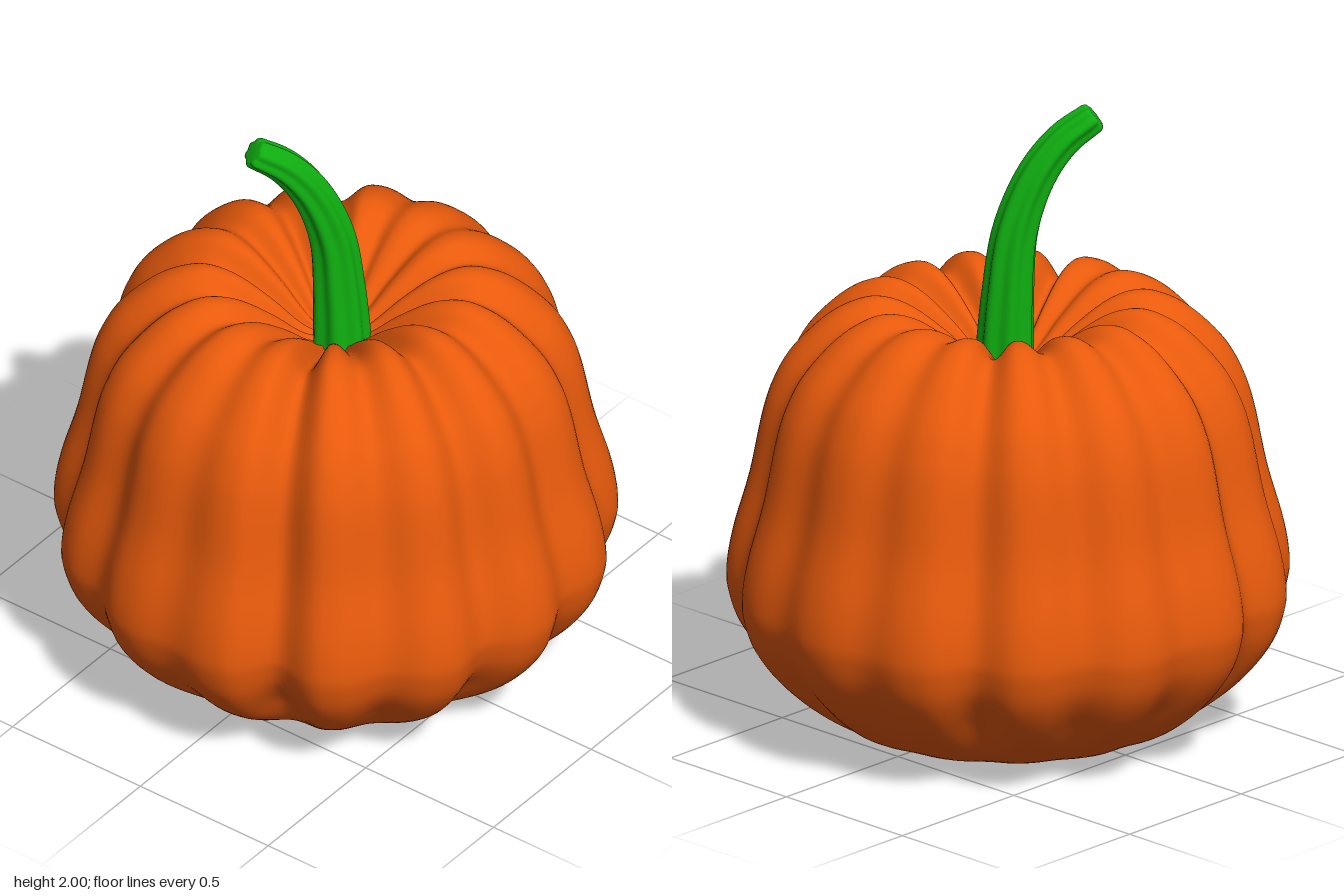
import * as THREE from 'three';

// Joins rings of points (each wound anticlockwise around its direction of travel) into one smooth skin
function loft(rings) {
  const n = rings[0].length, index = [];
  for (let i = 0; i < rings.length - 1; i++) {
    for (let j = 0; j < n; j++) {
      const a = i * n + j, b = i * n + (j + 1) % n;
      index.push(a, b, a + n, b, b + n, a + n);
    }
  }
  const geometry = new THREE.BufferGeometry().setFromPoints(rings.flat());
  geometry.setIndex(index);
  geometry.computeVertexNormals();
  return geometry;
}

// Body: a turned profile with fifteen creases of uneven depth pressed in along its normal
function createBody() {
  const profile = new THREE.SplineCurve([
    [0, 0.01], [0.2, 0.005], [0.38, 0.005], [0.54, 0.045], [0.65, 0.11], [0.76, 0.21],
    [0.84, 0.32], [0.875, 0.42], [0.88, 0.5], [0.86, 0.62], [0.81, 0.8], [0.77, 1.0],
    [0.735, 1.11], [0.68, 1.21], [0.585, 1.31], [0.5, 1.365], [0.41, 1.388], [0.31, 1.36],
    [0.2, 1.28], [0.1, 1.19], [0, 1.15],
  ].map(([r, y]) => new THREE.Vector2(r, y)));
  const creases = [0.025, 0.06, 0.045, 0.04, 0.06, 0.05, 0.04, 0.025,
    0.085, 0.045, 0.06, 0.05, 0.05, 0.04, 0.025];
  const perRib = 16, segments = creases.length * perRib, steps = 90;
  const rings = [];
  for (let i = 0; i <= steps; i++) {
    const t = i / steps, p = profile.getPoint(t), d = profile.getTangent(t);
    // Creases fade out on the flat base and towards the hollow's centre
    const fade = t < 0.5 ? THREE.MathUtils.smoothstep(p.y, 0, 0.22) : Math.min(1, p.x / 0.3);
    const ring = [];
    for (let j = 0; j < segments; j++) {
      const across = (j % perRib) / perRib;
      const k = Math.floor(j / perRib), k2 = (k + 1) % creases.length;
      const bump = (u) => Math.pow(0.5 + 0.5 * Math.cos(2 * Math.PI * u), 1.4);
      const depth = fade * bump(across) * (across < 0.5 ? creases[k] : creases[k2]);
      const angle = Math.PI + ((j / perRib + 0.5) / creases.length) * Math.PI * 2;
      const r = Math.max(0, p.x - d.y * depth), y = p.y + d.x * depth;
      ring.push(new THREE.Vector3(r * Math.sin(angle), y, r * Math.cos(angle)));
    }
    rings.push(ring);
  }
  return loft(rings);
}

// Stem: a tapering, fluted sweep along a curve, closed by a softly rounded tip
function createStem() {
  const curve = new THREE.CatmullRomCurve3([
    [0.04, 1.13, 0.02], [0.03, 1.38, 0.025], [0.015, 1.6, 0.045],
    [-0.025, 1.78, 0.1], [-0.075, 1.89, 0.165], [-0.13, 1.957, 0.235],
  ].map((p) => new THREE.Vector3(...p)));
  const steps = 40, sides = 56, flutes = 7;
  const frames = curve.computeFrenetFrames(steps);
  const rings = [];
  const addRing = (i, scale, push) => {
    const t = i / steps;
    const centre = curve.getPointAt(t).addScaledVector(frames.tangents[i], push);
    const radius = scale * (0.09 - 0.042 * t);
    const ring = [];
    for (let j = 0; j < sides; j++) {
      const a = (j / sides) * Math.PI * 2;
      const r = radius * (1 + 0.08 * Math.cos(a * flutes));
      ring.push(centre.clone()
        .addScaledVector(frames.normals[i], r * Math.cos(a))
        .addScaledVector(frames.binormals[i], r * Math.sin(a)));
    }
    rings.push(ring);
  };
  for (let i = 0; i <= steps; i++) addRing(i, 1, 0);
  addRing(steps, 0.9, 0.01);
  addRing(steps, 0.7, 0.014);
  addRing(steps, 0, 0.014);
  return loft(rings);
}

export function createModel() {
  const group = new THREE.Group();
  group.name = 'pumpkin';
  const add = (name, geometry, color) => {
    const mesh = new THREE.Mesh(geometry, new THREE.MeshStandardMaterial({ color }));
    mesh.name = name;
    group.add(mesh);
  };
  add('body', createBody(), 0xe85a0c);
  add('stem', createStem(), 0x0fae10);
  return group;
}
